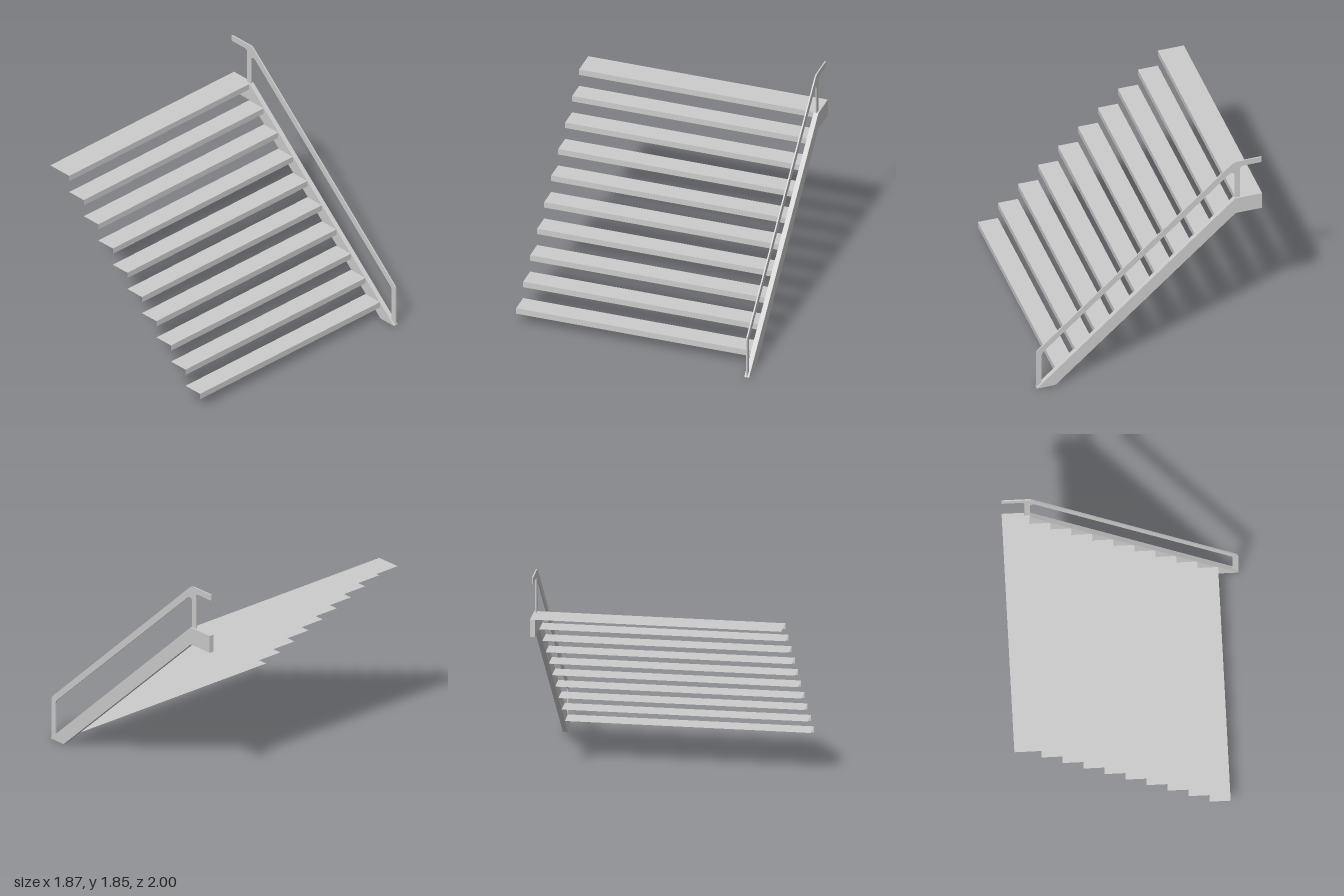
import * as THREE from 'three';

const STEPS = 10, RISE = 0.15, RUN = 0.1655, NOSE = 0.05;
const FIRST_X = 0.77, BACK_X = -0.935;   // front edge of lowest tread, rear of landing
const Z_IN = -0.96, Z_OUT = -1, Z_FRONT = 1;

const material = new THREE.MeshStandardMaterial({ color: 0xcccccc });
const sheetMaterial = new THREE.MeshStandardMaterial({ color: 0xcccccc, side: THREE.DoubleSide });

// Extrude a side profile to a given thickness, centred on z
function plate(name, shape, thickness, z) {
  const geo = new THREE.ExtrudeGeometry(shape, { depth: thickness, bevelEnabled: false, curveSegments: 6 });
  geo.translate(0, 0, z - thickness / 2);
  const mesh = new THREE.Mesh(geo, material);
  mesh.name = name;
  return mesh;
}

// Folded sheet step: flat top with a short drop at its front edge
function makeTread(frontX, backX, y) {
  const tread = new THREE.Group();
  const length = Z_FRONT - Z_IN, midZ = (Z_FRONT + Z_IN) / 2;
  const top = new THREE.Mesh(new THREE.PlaneGeometry(frontX - backX, length).rotateX(-Math.PI / 2), sheetMaterial);
  top.position.set((frontX + backX) / 2, y, midZ);
  top.name = 'treadTop';
  const nose = new THREE.Mesh(new THREE.PlaneGeometry(length, NOSE).rotateY(Math.PI / 2), sheetMaterial);
  nose.position.set(frontX, y - NOSE / 2, midZ);
  nose.name = 'treadNosing';
  tread.add(top, nose);
  return tread;
}

export function createModel() {
  const model = new THREE.Group();
  model.name = 'staircase';

  // Treads, the highest one running back as the landing
  for (let i = 0; i < STEPS; i++) {
    const frontX = FIRST_X - i * RUN;
    const last = i === STEPS - 1;
    const tread = makeTread(frontX, last ? BACK_X : frontX - RUN, RISE * (i + 1));
    tread.name = last ? 'landingTread' : 'tread' + (i + 1);
    model.add(tread);
  }

  // Sloping side beam with a level end
  const beam = new THREE.Shape([
    [0.93, 0], [-0.712, 1.5], [BACK_X, 1.5], [BACK_X, 1.355], [-0.715, 1.355], [0.775, 0],
  ].map(([x, y]) => new THREE.Vector2(x, y)));
  model.add(plate('stringer', beam, Z_IN - Z_OUT, (Z_IN + Z_OUT) / 2));

  // Flat handrail with both posts in one outline and rounded corners
  const rail = new THREE.Shape();
  rail.moveTo(BACK_X, 1.8);
  rail.lineTo(-0.785, 1.8);
  rail.quadraticCurveTo(-0.757, 1.8, -0.757, 1.77);
  rail.lineTo(-0.757, 1.5);
  rail.lineTo(-0.712, 1.5);
  rail.lineTo(-0.712, 1.725);
  rail.bezierCurveTo(-0.712, 1.75, -0.685, 1.758, -0.665, 1.74);
  rail.lineTo(0.868, 0.345);
  rail.quadraticCurveTo(0.885, 0.33, 0.885, 0.305);
  rail.lineTo(0.885, 0.04);
  rail.lineTo(0.93, 0);
  rail.lineTo(0.93, 0.335);
  rail.quadraticCurveTo(0.93, 0.355, 0.912, 0.37);
  rail.lineTo(-0.672, 1.82);
  rail.quadraticCurveTo(-0.7, 1.85, -0.735, 1.85);
  rail.lineTo(BACK_X, 1.85);
  rail.closePath();
  model.add(plate('handrail', rail, 0.011, (Z_IN + Z_OUT) / 2));

  return model;
}
